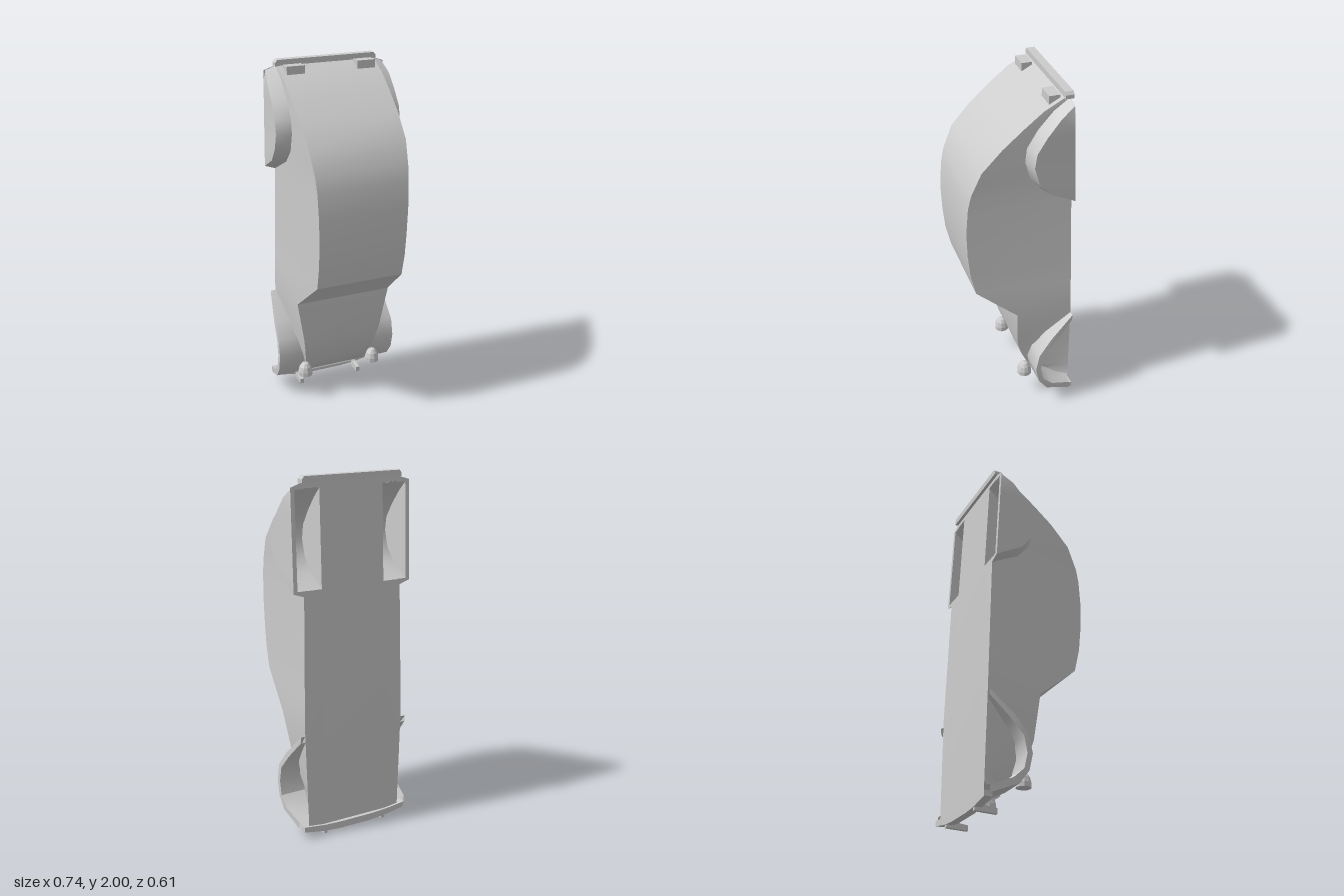
import * as THREE from 'three';
import { toCreasedNormals } from 'three/addons/utils/BufferGeometryUtils.js';

const paint = new THREE.MeshStandardMaterial({ color: 0xcccccc, side: THREE.DoubleSide });
paint.name = 'grey paint';

// Surface through rows of [x, y, z] points
function loft(rows, crease = 0.5) {
  const n = rows[0].length, index = [];
  for (let i = 0; i < rows.length - 1; i++)
    for (let j = 0; j < n - 1; j++) {
      const a = i * n + j, b = a + n;
      index.push(a, a + 1, b, a + 1, b + 1, b);
    }
  const g = new THREE.BufferGeometry();
  g.setAttribute('position', new THREE.Float32BufferAttribute(rows.flat(2), 3));
  g.setIndex(index);
  return toCreasedNormals(g, crease);
}

function add(parent, name, geometry) {
  const m = new THREE.Mesh(geometry, paint);
  m.name = name;
  parent.add(m);
  return m;
}

// Linear lookup in a table of [y, value, ...]
function lookup(table, y, k = 1) {
  const i = Math.max(1, table.findIndex((r) => r[0] >= y - 1e-6));
  const a = table[i - 1], b = table[i];
  return a[k] + (b[k] - a[k]) * (y - a[0]) / (b[0] - a[0]);
}

// Body: y, upper z, upper half width
const upper = [
  [0.06, -0.26, 0.172], [0.12, -0.13, 0.185], [0.2, -0.065, 0.203], [0.3, -0.02, 0.222],
  [0.4, 0.01, 0.24], [0.65, 0.03, 0.285], [0.84, 0.26, 0.255], [0.97, 0.29, 0.256],
  [1.1, 0.303, 0.257], [1.25, 0.308, 0.26], [1.4, 0.297, 0.264], [1.48, 0.28, 0.268],
  [1.61, 0.225, 0.278], [1.73, 0.115, 0.284], [1.83, 0, 0.286], [1.91, -0.1, 0.286], [1.98, -0.23, 0.285],
];
// Floor: y, z, half width
const floor = [[0.06, -0.292, 0.29], [0.65, -0.284, 0.308], [1.4, -0.262, 0.295], [1.98, -0.235, 0.287]];
const floorZ = (y) => lookup(floor, y);
const floorX = (y) => lookup(floor, y, 2);
const sideX = (y, z) => {
  const z0 = floorZ(y), z1 = lookup(upper, y), x0 = floorX(y);
  return x0 + (lookup(upper, y, 2) - x0) * Math.min(1, Math.max(0, (z - z0) / (z1 - z0)));
};

// Fender outlines: y, z, then edge y, z, x
const rear = [
  [1.375, -0.263, 1.4, -0.26, 0.356], [1.46, -0.1, 1.475, -0.115, 0.364], [1.54, -0.03, 1.55, -0.055, 0.367],
  [1.64, -0.002, 1.64, -0.028, 0.367], [1.72, -0.01, 1.72, -0.04, 0.367], [1.82, -0.07, 1.805, -0.095, 0.364],
  [1.91, -0.15, 1.89, -0.165, 0.36], [1.97, -0.235, 1.945, -0.236, 0.345],
];
const front = [
  [0.06, -0.275, 0.1, -0.285, 0.345], [0.12, -0.125, 0.145, -0.165, 0.365], [0.19, -0.075, 0.2, -0.107, 0.368],
  [0.28, -0.055, 0.28, -0.09, 0.368], [0.38, -0.075, 0.37, -0.107, 0.367], [0.48, -0.15, 0.46, -0.18, 0.357],
  [0.61, -0.283, 0.575, -0.285, 0.335],
];
const WELL = 0.19;

// One side of the car, on +x
function buildSide(name) {
  const side = new THREE.Group();
  side.name = name;

  // Body side, cut away behind the rear fender
  const ys = [...new Set([...upper, ...rear].map((r) => r[0]))].sort((a, b) => a - b);
  add(side, 'bodySide', loft(ys.map((y) => {
    const arch = y > 1.375 && y < 1.97 ? lookup(rear, y) - 0.01 : -1;
    const z0 = Math.min(lookup(upper, y), Math.max(floorZ(y), arch)), z1 = lookup(upper, y);
    return [[sideX(y, z0), y, z0], [sideX(y, z1), y, z1]];
  })));

  // Floor strips before and behind the rear wheel well
  for (const span of [[0.06, 0.65, 1.4, 1.41], [1.94, 1.98]])
    add(side, 'floorEdge', loft(span.map((y) => [[WELL, y, floorZ(y)], [floorX(y), y, floorZ(y)]])));

  // Rear fender with closed outer face
  add(side, 'rearFender', loft(rear.map(([y, z, ey, ez, ex]) => [
    [sideX(y, z) - 0.01, y, z], [ex, ey, ez], [Math.min(ex, 0.356), ey, floorZ(ey)],
  ])));

  // Rear wheel well
  add(side, 'rearWheelWell', loft(rear.map(([, , ey, ez]) => {
    const y = 1.675 + (ey - 1.675) * 0.965, z = Math.max(floorZ(y), ez - 0.015);
    return [[WELL, y, floorZ(y)], [WELL, y, z], [0.335, y, z], [0.335, y, floorZ(y)]];
  })));
  add(side, 'rearFenderRim', loft([1.41, 1.94].map((y) => [[0.333, y, floorZ(y)], [0.356, y, floorZ(y)]])));
  for (const [ya, yb, yc] of [[1.375, 1.4, 1.411], [1.97, 1.945, 1.934]])
    add(side, 'rearFenderEnd', loft([
      [[0.28, ya, floorZ(ya)], [0.356, yb, floorZ(yb)]],
      [[0.28, yc, floorZ(yc)], [0.356, yc, floorZ(yc)]],
    ]));

  // Front fender, an open arch with a lip
  add(side, 'frontFender', loft(front.map(([y, z, ey, ez, ex]) => [
    [sideX(y, z) - 0.01, y, z], [ex, y, z - 0.005], [ex, ey, ez], [sideX(ey, ez) - 0.01, ey, ez],
  ])));

  // Bullet headlamp
  const lamp = [[0, 0], [0.042, 0], [0.042, 0.025], [0.034, 0.055], [0.02, 0.075], [0, 0.081]];
  const lampGeo = new THREE.LatheGeometry(lamp.map(([r, h]) => new THREE.Vector2(r, h)), 10);
  add(side, 'headlamp', toCreasedNormals(lampGeo, 0.1)).position.set(0.218, 0.145, -0.04);

  // Tail lamp
  add(side, 'tailLamp', new THREE.BoxGeometry(0.104, 0.045, 0.06)).position.set(0.207, 1.953, -0.165);

  // Bumper guard
  const guard = new THREE.Shape([[-0.3, 0.05], [-0.3, 0.005], [-0.175, 0], [-0.175, 0.03], [-0.24, 0.038], [-0.26, 0.058]]
    .map(([z, y]) => new THREE.Vector2(-z, y)));
  const guardGeo = new THREE.ExtrudeGeometry(guard, { depth: 0.022, bevelEnabled: false });
  const g = add(side, 'bumperGuard', guardGeo);
  g.rotation.y = Math.PI / 2;
  g.position.x = 0.177;
  return side;
}

export function createModel() {
  const car = new THREE.Group();
  car.name = 'carBody';

  // Roof, bonnet and tail in one strip
  add(car, 'roofAndBonnet', loft(upper.map(([y, z, x]) => [[x, y, z], [-x, y, z]])));
  add(car, 'floor', loft(floor.map(([y, z]) => [[-WELL, y, z], [WELL, y, z]])));

  // Closed ends
  for (const [name, t, f] of [['nose', upper[0], floor[0]], ['tail', upper[upper.length - 1], floor[3]]])
    add(car, name, loft([[[-t[2], t[0], t[1]], [t[2], t[0], t[1]]], [[-f[2], f[0], f[1]], [f[2], f[0], f[1]]]]));

  const left = buildSide('leftSide');
  const right = buildSide('rightSide');
  right.scale.x = -1;
  car.add(left, right);

  // Grille frame lying on the nose
  const frame = new THREE.Shape([[-0.125, -0.045], [0.125, -0.045], [0.145, 0.045], [-0.145, 0.045]]
    .map(([x, y]) => new THREE.Vector2(x, y)));
  frame.holes.push(new THREE.Path([[-0.115, -0.036], [-0.133, 0.036], [0.133, 0.036], [0.115, -0.036]]
    .map(([x, y]) => new THREE.Vector2(x, y))));
  const grille = add(car, 'grilleFrame', new THREE.ExtrudeGeometry(frame, { depth: 0.007, bevelEnabled: false }));
  grille.position.set(0, 0.097, -0.179);
  grille.rotation.x = Math.atan2(0.13, 0.06);

  // Curved front bumper
  const band = [[-0.325, 0.075], [-0.325, 0.045], [-0.2, 0.023], [-0.1, 0.015], [0.1, 0.015], [0.2, 0.023],
    [0.325, 0.045], [0.325, 0.075], [0.2, 0.06], [0.1, 0.055], [-0.1, 0.055], [-0.2, 0.06]];
  const bumper = new THREE.ExtrudeGeometry(new THREE.Shape(band.map(([x, y]) => new THREE.Vector2(x, y))),
    { depth: 0.045, bevelEnabled: false });
  add(car, 'frontBumper', bumper).position.z = -0.305;

  // Straight rear bumper with chamfered ends
  const bar = [[-0.298, 1.965], [0.298, 1.965], [0.298, 1.985], [0.285, 2], [-0.285, 2], [-0.298, 1.985]];
  const rearBar = new THREE.ExtrudeGeometry(new THREE.Shape(bar.map(([x, y]) => new THREE.Vector2(x, y))),
    { depth: 0.045, bevelEnabled: false });
  add(car, 'rearBumper', rearBar).position.z = -0.253;

  return car;
}
